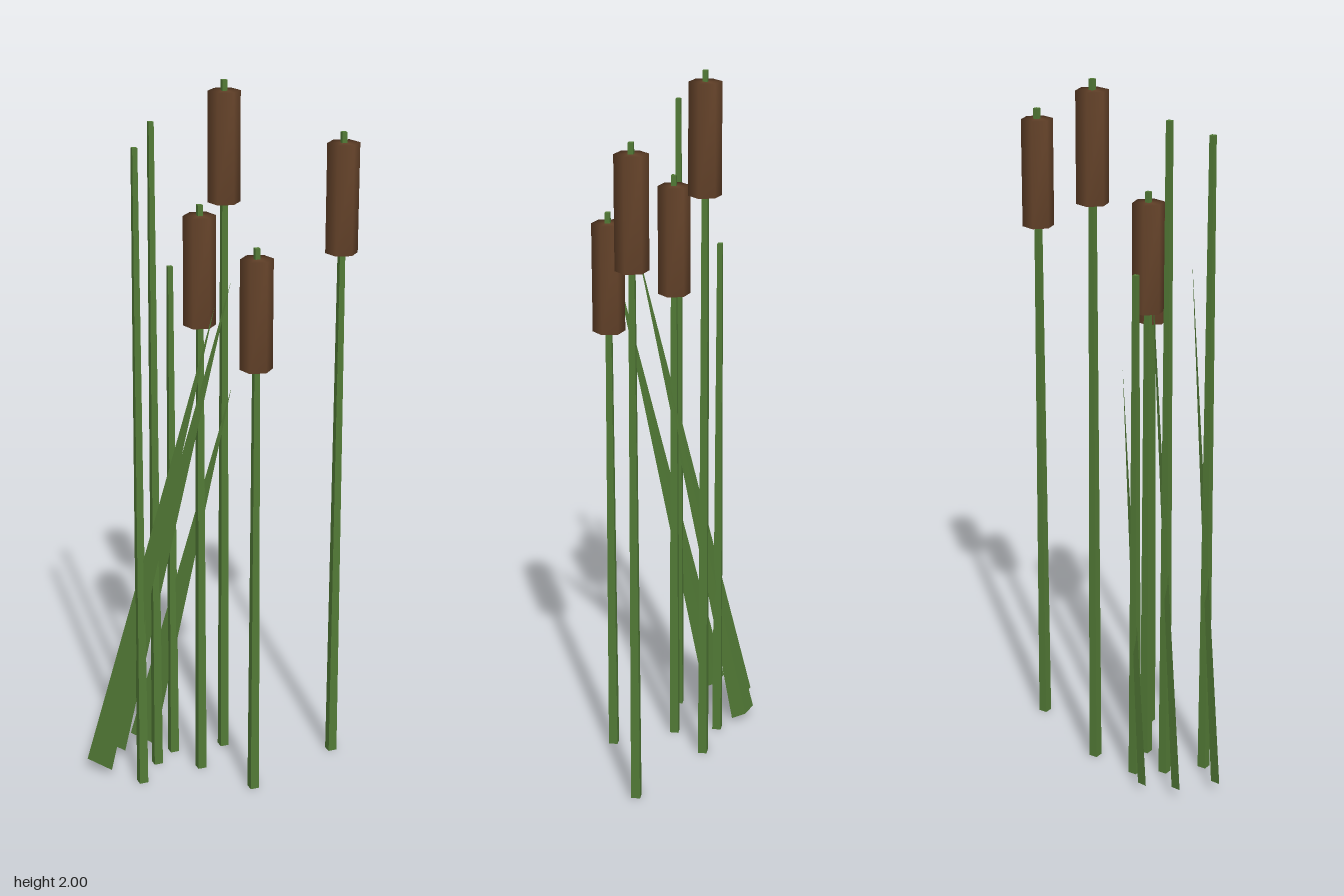
import * as THREE from 'three';
import { mergeVertices } from 'three/addons/utils/BufferGeometryUtils.js';

const green = new THREE.MeshStandardMaterial({ name: 'reedGreen', color: 0x527a36, flatShading: true });
const brown = new THREE.MeshStandardMaterial({ name: 'seedHeadBrown', color: 0x65432a });

// Shares vertices across all edges so the shading is rounded over
function softened(geometry) {
  geometry.deleteAttribute('normal');
  geometry.deleteAttribute('uv');
  const merged = mergeVertices(geometry, 1e-4);
  merged.computeVertexNormals();
  return merged;
}

function addMesh(parent, name, geometry, material) {
  const mesh = new THREE.Mesh(geometry, material);
  mesh.name = name;
  parent.add(mesh);
  return mesh;
}

// Four-sided stem, tapering upwards
function addStem(parent, x, z, height) {
  const geometry = new THREE.CylinderGeometry(0.01, 0.018, height, 4);
  addMesh(parent, 'stem', geometry, green).position.set(x, height / 2, z);
}

// Flattened three-sided spike from its base centre to its tip
function addLeaf(parent, z, baseX, baseY, tipX, tipY) {
  const dx = tipX - baseX;
  const dy = tipY - baseY;
  const length = Math.hypot(dx, dy);
  const geometry = new THREE.ConeGeometry(0.047, length, 3);
  geometry.rotateY(Math.PI);
  geometry.scale(1, 1, 0.21);
  geometry.translate(0, length / 2, 0);
  const leaf = addMesh(parent, 'leaf', geometry, green);
  leaf.position.set(baseX, baseY, z);
  leaf.rotation.z = -Math.atan2(dx, dy);
}

export function createModel() {
  const model = new THREE.Group();
  model.name = 'cattails';

  // Stems carrying a seed head: x, z, height
  const headGeometry = softened(new THREE.CylinderGeometry(0.045, 0.045, 0.305, 6));
  const headed = [
    [0.29, -0.188, 1.865],
    [-0.016, -0.086, 2.0],
    [-0.022, 0.065, 1.692],
    [0.164, 0.113, 1.605],
  ];
  for (const [x, z, height] of headed) {
    const cattail = new THREE.Group();
    cattail.name = 'cattail';
    addStem(cattail, x, z, height);
    addMesh(cattail, 'seedHead', headGeometry, brown).position.set(x, height - 0.182, z);
    model.add(cattail);
  }

  // Bare stems, each with one leaning leaf: x, z, height, leaf base and tip
  const leafy = [
    [-0.137, 0.008, 1.495, -0.236, 0.02, 0.048, 1.17],
    [-0.15, 0.094, 1.91, -0.292, 0.028, 0.082, 1.5],
    [-0.142, 0.212, 1.865, -0.278, 0.027, 0.086, 1.462],
  ];
  for (const [x, z, height, ...leaf] of leafy) {
    const reed = new THREE.Group();
    reed.name = 'reed';
    addStem(reed, x, z, height);
    addLeaf(reed, z, ...leaf);
    model.add(reed);
  }
  return model;
}
